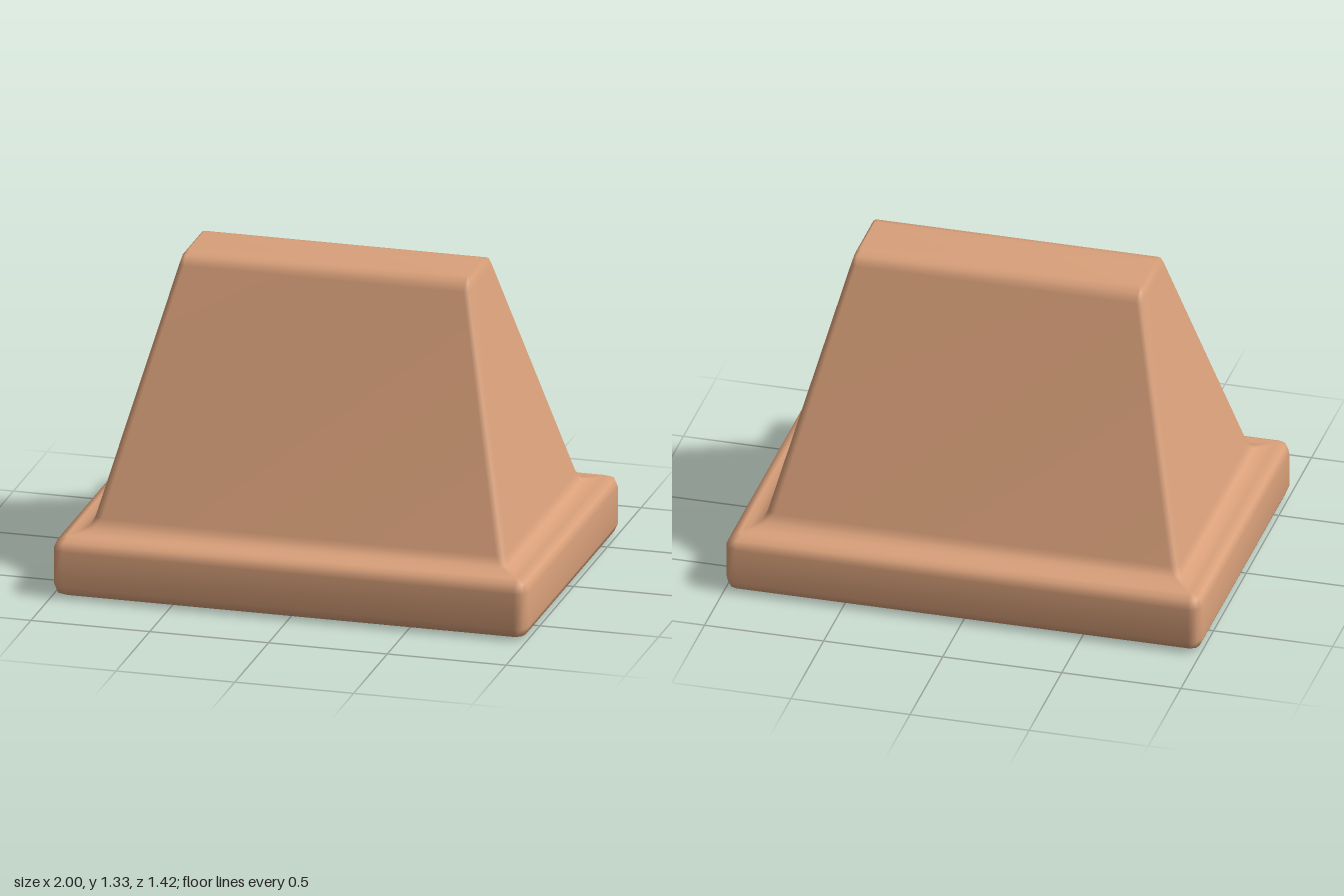
import * as THREE from 'three';

const CORNER = 3; // points around each rounded corner

// One horizontal rounded-rectangle ring: height, half width, half depth, corner radius
function ring([y, hx, hz, r]) {
  const pts = [];
  for (let q = 0; q < 4; q++) {
    const sx = q === 0 || q === 3 ? 1 : -1;
    const sz = q < 2 ? 1 : -1;
    for (let k = 0; k < CORNER; k++) {
      const a = (q + k / (CORNER - 1)) * Math.PI / 2;
      pts.push(sx * (hx - r) + r * Math.cos(a), y, sz * (hz - r) + r * Math.sin(a));
    }
  }
  return pts;
}

// Smooth skin through stacked rings, capped at the top and optionally at the bottom
function loft(sections, capBottom) {
  const n = CORNER * 4;
  const pos = sections.flatMap(ring);
  const index = [];
  for (let i = 0; i < sections.length - 1; i++) {
    for (let j = 0; j < n; j++) {
      const a = i * n + j, b = i * n + (j + 1) % n;
      index.push(a, a + n, b, b, a + n, b + n);
    }
  }
  const top = (sections.length - 1) * n;
  const centre = pos.length / 3;
  pos.push(0, sections[sections.length - 1][0], 0, 0, sections[0][0], 0);
  for (let j = 0; j < n; j++) {
    const k = (j + 1) % n;
    index.push(centre, top + k, top + j);
    if (capBottom) index.push(centre + 1, j, k);
  }
  const geo = new THREE.BufferGeometry();
  geo.setAttribute('position', new THREE.Float32BufferAttribute(pos, 3));
  geo.setIndex(index);
  geo.computeVertexNormals();
  return geo;
}

export function createModel() {
  const group = new THREE.Group();
  const clay = new THREE.MeshStandardMaterial({ color: 0xd9a07a });
  clay.name = 'clay';

  // Slab with rounded edges all round
  const base = new THREE.Mesh(loft([
    [0, 0.95, 0.66, 0.01],
    [0.015, 0.985, 0.695, 0.035],
    [0.05, 1, 0.712, 0.05],
    [0.2, 1, 0.712, 0.05],
    [0.235, 0.985, 0.695, 0.035],
    [0.25, 0.95, 0.66, 0.01],
  ], true), clay);
  base.name = 'base';

  // Tapered block that flares into the slab and rounds off to a narrow ridge
  const body = new THREE.Mesh(loft([
    [0.251, 0.945, 0.655, 0.01],
    [0.252, 0.92, 0.62, 0.015],
    [0.265, 0.88, 0.575, 0.025],
    [0.3, 0.865, 0.549, 0.035],
    [1.285, 0.614, 0.182, 0.025],
    [1.32, 0.604, 0.157, 0.015],
    [1.332, 0.59, 0.115, 0.008],
  ], false), clay);
  body.name = 'taperedBody';

  group.add(base, body);
  return group;
}
